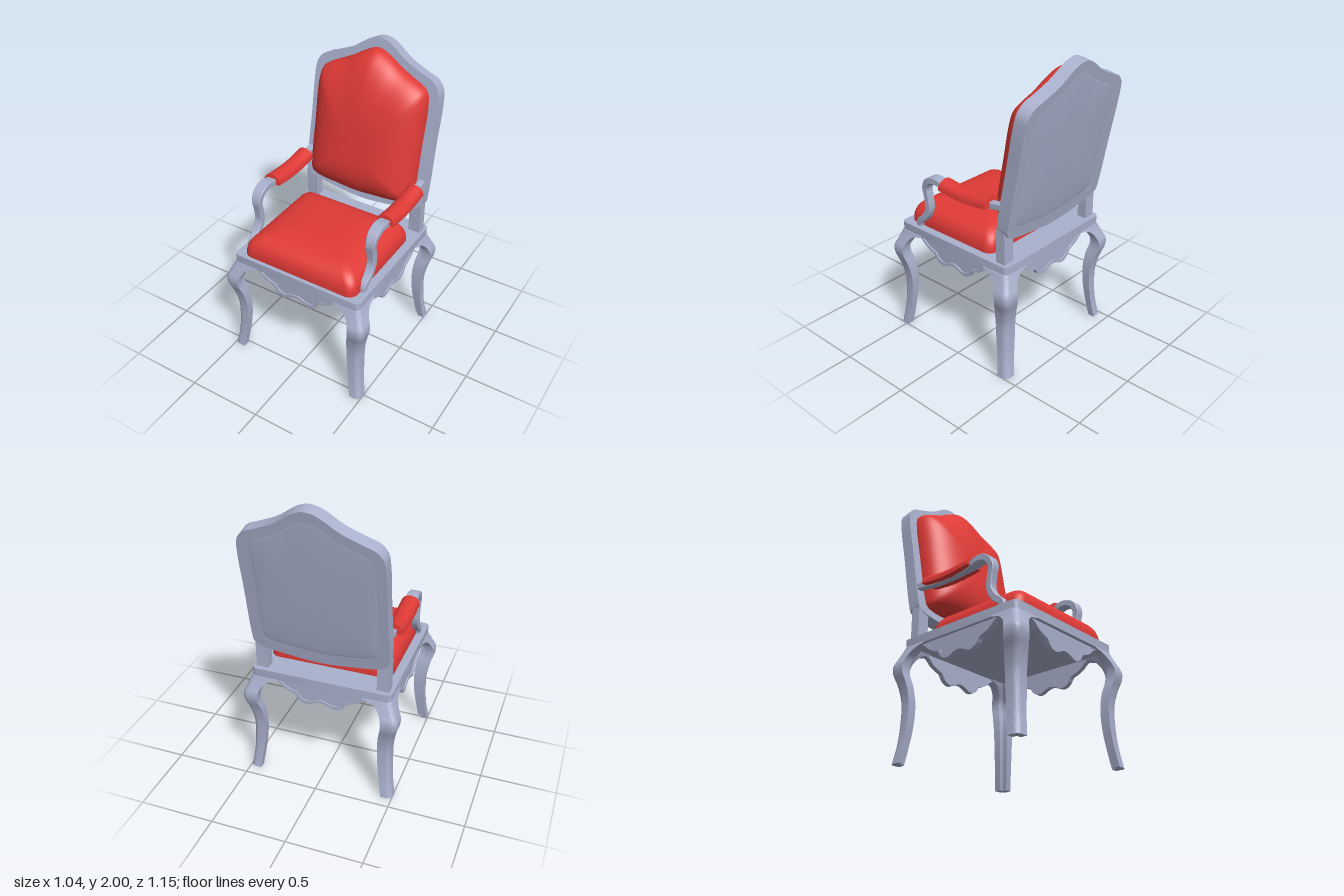
import * as THREE from 'three';
import { toCreasedNormals } from 'three/addons/utils/BufferGeometryUtils.js';

const WOOD = new THREE.MeshStandardMaterial({ color: 0xa9b0cc });
const FABRIC = new THREE.MeshStandardMaterial({ color: 0xe03a36 });
const V3 = (x, y, z) => new THREE.Vector3(x, y, z);
const MID_Z = 0.065; // middle of the seat and legs

function part(parent, name, geo, mat, crease = 0.6) {
  const mesh = new THREE.Mesh(toCreasedNormals(geo, crease), mat);
  mesh.name = name;
  parent.add(mesh);
  return mesh;
}

// Skin a stack of equal rings and cap both ends
function loft(rings) {
  const n = rings[0].length, last = (rings.length - 1) * n, index = [];
  for (let k = 0; k < rings.length - 1; k++) {
    for (let j = 0; j < n; j++) {
      const a = k * n + j, b = k * n + (j + 1) % n;
      index.push(a, a + n, b, b, a + n, b + n);
    }
  }
  for (let j = 1; j < n - 1; j++) index.push(0, j, j + 1, last, last + j + 1, last + j);
  const geo = new THREE.BufferGeometry();
  geo.setAttribute('position', new THREE.Float32BufferAttribute(rings.flat().flatMap(p => p.toArray()), 3));
  geo.setIndex(index);
  return geo;
}

// Sweep a section along a path in the side plane; section(u) gives [across, up] pairs
function sweep(points, steps, section) {
  const curve = new THREE.CatmullRomCurve3(points.map(([z, y]) => V3(0, y, z)));
  const rings = [];
  for (let k = 0; k <= steps; k++) {
    const u = k / steps, p = curve.getPointAt(u), t = curve.getTangentAt(u);
    rings.push(section(u).map(([a, b]) => V3(a, p.y - t.z * b, p.z + t.y * b)));
  }
  return loft(rings);
}

// Clockwise smooth outline, from its right half listed top to bottom
function mirroredOutline(half, count) {
  const left = half.slice(1, -1).reverse().map(([x, y]) => [-x, y]);
  const curve = new THREE.CatmullRomCurve3([...half, ...left].map(([x, y]) => V3(x, y, 0)), true);
  return curve.getPoints(count).slice(0, -1);
}

function roundedRect(hw, hh, r) {
  const pts = [];
  for (const [sx, sy, a0] of [[1, 1, 90], [1, -1, 0], [-1, -1, -90], [-1, 1, -180]]) {
    for (let i = 0; i <= 6; i++) {
      const a = THREE.MathUtils.degToRad(a0 - i * 15);
      pts.push(V3(sx * (hw - r) + r * Math.cos(a), sy * (hh - r) + r * Math.sin(a), 0));
    }
  }
  return pts;
}

// Domed pad over a clockwise outline, bulging to +z
function pillow(outline, cy, height, n, m) {
  const rings = [], steps = 20;
  for (let k = 0; k <= steps; k++) {
    const t = (k / steps) * Math.PI / 2;
    const r = Math.max(0.002, Math.max(0, Math.cos(t)) ** (2 / n)), h = height * Math.sin(t) ** (2 / m);
    rings.push(outline.map(p => V3(p.x * r, cy + (p.y - cy) * r, h)));
  }
  return loft(rings);
}

const resize = (pts, sx, sy, cy) => pts.map(p => V3(p.x * sx, cy + (p.y - cy) * sy, 0));

function slab(outline, depth, hole) {
  const shape = new THREE.Shape(outline.map(p => new THREE.Vector2(p.x, p.y)));
  if (hole) shape.holes.push(new THREE.Path(hole.map(p => new THREE.Vector2(p.x, p.y))));
  return new THREE.ExtrudeGeometry(shape, { depth, bevelEnabled: false });
}

// Turn a front or corner part to each of the four sides
const toSide = (geo, k) => geo.rotateY(k * Math.PI / 2).scale(1, 1, 0.985).translate(0, 0, MID_Z);

// Curved leg with an L-shaped section, its outer corner rounded
function legGeometry() {
  const rows = [ // outer, height, inner
    [0.5, 0, 0.425], [0.482, 0.12, 0.407], [0.473, 0.25, 0.391], [0.474, 0.38, 0.387],
    [0.492, 0.48, 0.396], [0.516, 0.56, 0.413], [0.517, 0.61, 0.412], [0.497, 0.66, 0.394],
    [0.478, 0.705, 0.35], [0.47, 0.727, 0.285], [0.464, 0.74, 0.27]];
  const curve = new THREE.CatmullRomCurve3(rows.map(r => V3(...r)));
  return loft(curve.getPoints(50).map(({ x: o, y, z: i }) => {
    const t = Math.min(0.6 * (o - i), 0.062), r = 0.035;
    const ring = [V3(o - t, y, o - t), V3(o - t, y, i), V3(o, y, i)];
    for (let s = 0; s <= 6; s++) {
      const a = (s / 6) * Math.PI / 2;
      ring.push(V3(o - r + r * Math.cos(a), y, o - r + r * Math.sin(a)));
    }
    ring.push(V3(i, y, o), V3(i, y, o - t));
    return ring;
  }));
}

function buildBase(chair) {
  const apron = [[0, 0.612], [0.04, 0.602], [0.085, 0.583], [0.12, 0.587], [0.15, 0.607],
    [0.172, 0.64], [0.21, 0.655], [0.25, 0.675], [0.285, 0.705], [0.315, 0.72]];
  const full = [...apron.slice(1).reverse().map(([x, y]) => [-x, y]), ...apron];
  const edge = new THREE.CatmullRomCurve3(full.map(([x, y]) => V3(x, y, 0))).getPoints(90);
  const outline = [...edge, V3(0.315, 0.74, 0), V3(-0.315, 0.74, 0)];
  const inner = resize(outline, 0.93, 0.84, 0.735);
  ['front', 'left', 'back', 'right'].forEach((side, k) => {
    part(chair, side + 'Apron', toSide(slab(outline, 0.025).translate(0, 0, 0.418), k), WOOD);
    part(chair, side + 'ApronBead', toSide(slab(outline, 0.01, inner).translate(0, 0, 0.443), k), WOOD);
  });
  ['frontLeftLeg', 'backLeftLeg', 'backRightLeg', 'frontRightLeg'].forEach((name, k) =>
    part(chair, name, toSide(legGeometry(), k), WOOD));

  const frame = slab(roundedRect(0.465, 0.46, 0.035), 0.058).rotateX(-Math.PI / 2);
  part(chair, 'seatFrame', frame.translate(0, 0.73, MID_Z), WOOD);
  const cushion = pillow(roundedRect(0.41, 0.36, 0.06), 0, 0.17, 4, 2.6).rotateX(-Math.PI / 2);
  part(chair, 'seatCushion', cushion.translate(0, 0.787, 0.14), FABRIC, 0.8);
}

function buildBack(chair) {
  const back = new THREE.Group();
  back.name = 'backrest';
  back.position.set(0, 0.923, -0.281);
  back.rotation.x = -0.19;
  chair.add(back);
  const local = pts => pts.map(([x, y]) => [x, (y - 0.923) / 0.982]);
  const outline = mirroredOutline(local([[0, 2], [0.07, 1.982], [0.195, 1.9], [0.32, 1.845], [0.39, 1.817],
    [0.433, 1.767], [0.445, 1.7], [0.445, 1.4], [0.445, 1.06], [0.437, 1.005], [0.4, 0.975],
    [0.2, 0.94], [0, 0.923]]), 140);
  const hole = resize(outline, 0.86, 0.89, 0.5);
  part(back, 'backFrame', slab(outline, 0.062).translate(0, 0, -0.062), WOOD);
  part(back, 'backRim', slab(outline, 0.024, hole).translate(0, 0, -0.086), WOOD);
  const panel = pillow(hole, 0.5, 0.014, 2, 2).rotateY(Math.PI).translate(0, 0, -0.06);
  part(back, 'backPanel', panel, WOOD);

  const padOutline = mirroredOutline(local([[0, 1.94], [0.09, 1.907], [0.195, 1.842], [0.32, 1.785],
    [0.366, 1.75], [0.384, 1.68], [0.385, 1.4], [0.382, 1.1], [0.37, 1.035], [0.325, 1.01],
    [0.117, 0.99], [0, 0.983]]), 120);
  part(back, 'backCushion', pillow(padOutline, 0.4, 0.188, 2.9, 2.2), FABRIC, 0.8);
}

function buildArm(chair, side, s) {
  const x = s * 0.418;
  const widths = [0.018, 0.025, 0.026, 0.027, 0.036, 0.036, 0.024, 0.021, 0.022, 0.023, 0.023];
  const rail = sweep([[0.39, 0.78], [0.384, 0.822], [0.33, 0.87], [0.295, 0.94], [0.302, 1.03], [0.31, 1.085],
    [0.28, 1.14], [0.215, 1.163], [0.15, 1.15], [0, 1.135], [-0.15, 1.138], [-0.34, 1.16]], 60, u => {
    const f = u * (widths.length - 1), i = Math.min(Math.floor(f), widths.length - 2);
    const w = THREE.MathUtils.lerp(widths[i], widths[i + 1], f - i), h = 0.022, b = 0.005;
    return [[w, b - h], [w, h - b], [w - b, h], [b - w, h], [-w, h - b], [-w, b - h], [b - w, -h], [w - b, -h]];
  });
  part(chair, side + 'Arm', rail.translate(x, 0, 0), WOOD);

  // Half-round upholstered pad
  const section = [];
  for (let i = 0; i <= 14; i++) {
    const a = (i / 14) * Math.PI;
    section.push([0.06 * Math.cos(a), 0.064 * Math.sin(a) ** 0.8]);
  }
  const pad = sweep([[0.15, 1.135], [0.05, 1.123], [-0.05, 1.118], [-0.15, 1.123], [-0.245, 1.136]], 20, () => section);
  part(chair, side + 'ArmPad', pad.translate(x, 0, 0), FABRIC);

  // Post carrying the backrest
  const post = new THREE.BoxGeometry(0.08, 0.23, 0.065).translate(s * 0.402, 0.89, -0.328);
  part(chair, side + 'BackPost', post, WOOD);
}

export function createModel() {
  const chair = new THREE.Group();
  chair.name = 'armchair';
  buildBase(chair);
  buildBack(chair);
  buildArm(chair, 'left', 1);
  buildArm(chair, 'right', -1);
  return chair;
}
